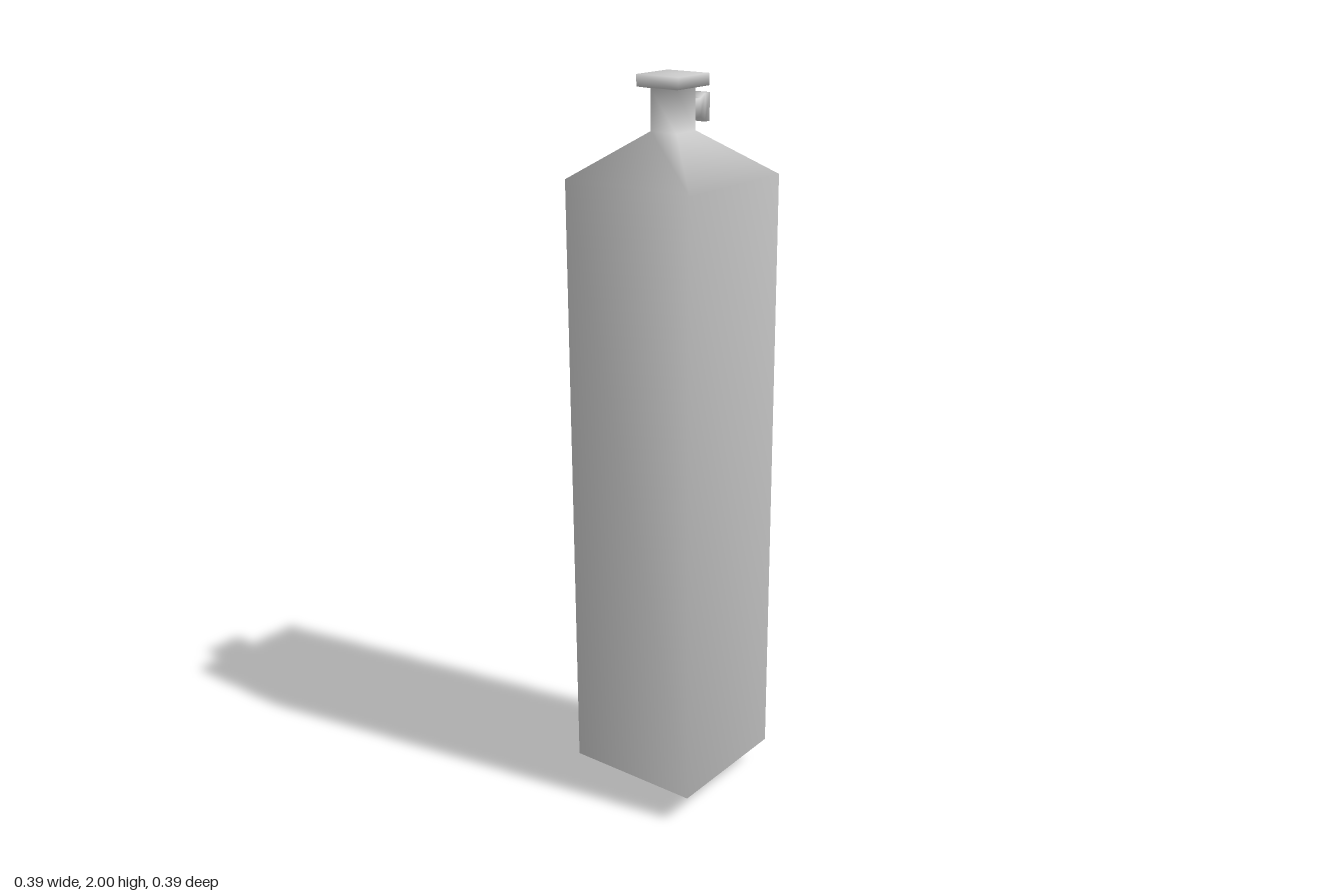
import * as THREE from 'three';

const material = new THREE.MeshStandardMaterial({ color: 0xcccccc });

// Four-sided smooth-shaded lathe; profile is [half width, height], bottom to top
function squareLathe(name, profile) {
  const points = profile.map(([h, y]) => new THREE.Vector2(h * Math.SQRT2, y));
  const mesh = new THREE.Mesh(new THREE.LatheGeometry(points, 4, Math.PI / 4), material);
  mesh.name = name;
  return mesh;
}

export function createModel() {
  const model = new THREE.Group();
  model.name = 'gasCylinder';

  // Tank body with tapered base, sloped shoulder, neck and flared cap
  model.add(squareLathe('tank', [
    [0, 0], [0.065, 0], [0.194, 0.08], [0.194, 1.745],
    [0.04, 1.86], [0.04, 1.965], [0.065, 1.97], [0.065, 2], [0, 2],
  ]));

  // Side valve: stem and knob pointing to +x, narrower in depth than in height
  const valve = squareLathe('sideValve', [
    [0.023, 0.02], [0.023, 0.095], [0.036, 0.102], [0.036, 0.122], [0, 0.122],
  ]);
  valve.geometry.scale(1, 1, 0.74);
  valve.geometry.rotateZ(-Math.PI / 2);
  valve.position.set(0, 1.909, -0.001);
  model.add(valve);

  return model;
}
